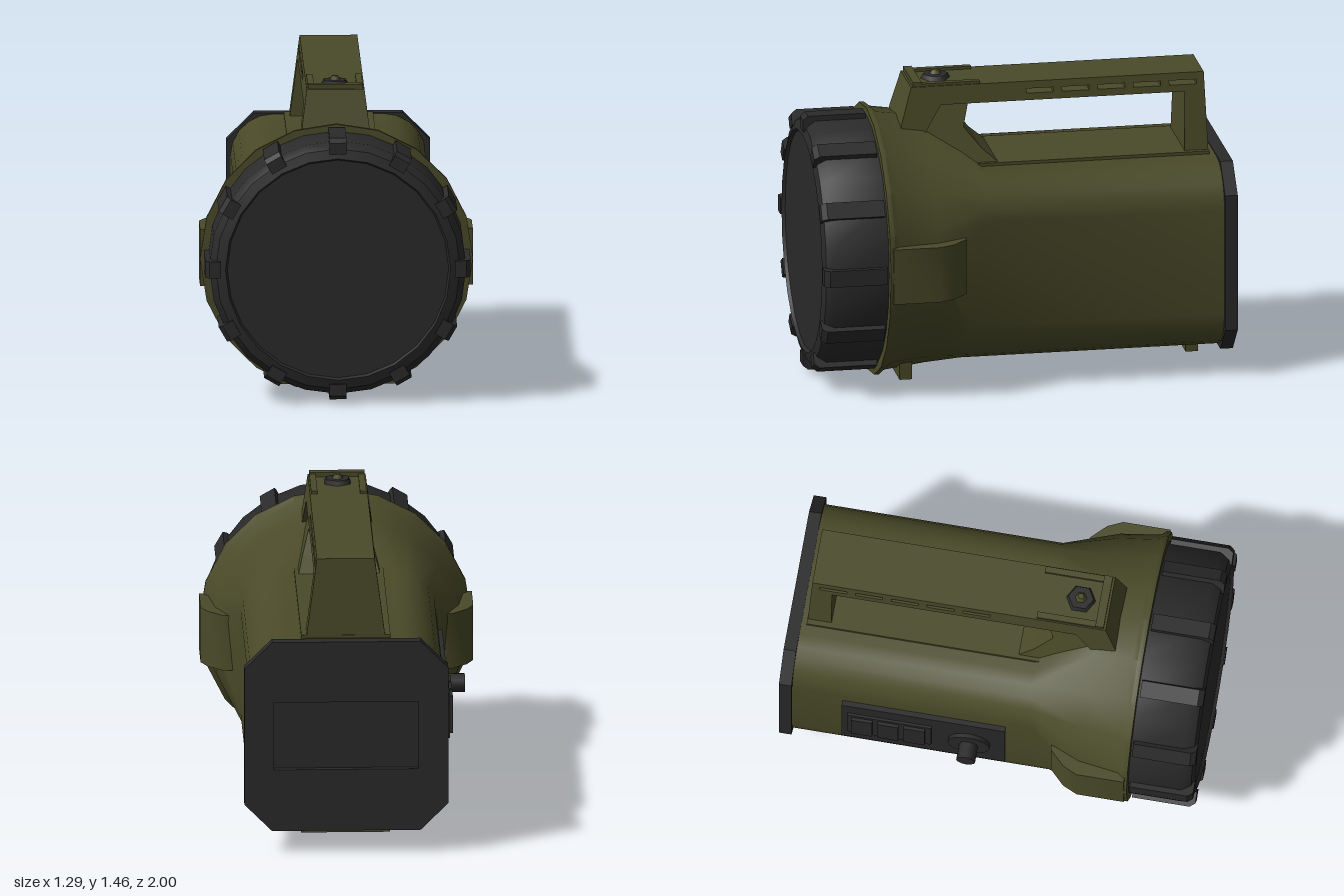
import * as THREE from 'three';
import { toCreasedNormals } from 'three/addons/utils/BufferGeometryUtils.js';

const olive = new THREE.MeshStandardMaterial({ name: 'olive plastic', color: 0x4a4a29 });
const dark = new THREE.MeshStandardMaterial({ name: 'black rubber', color: 0x2a2a2a });

// Rounded rectangle outline, counter-clockwise seen from the front; w = h = r gives a circle.
// A tilt leans the outline so that its lower edge lies further forward.
function section(z, cy, w, h, r, tilt = 0) {
  const pts = [], steps = 5;
  for (let q = 0; q < 4; q++) {
    const sx = q === 0 || q === 3 ? 1 : -1, sy = q < 2 ? 1 : -1;
    for (let k = 0; k <= steps; k++) {
      const a = (q + k / steps) * Math.PI / 2;
      const y = sy * (h - r) + r * Math.sin(a);
      pts.push([sx * (w - r) + r * Math.cos(a), cy + y, z - tilt * y]);
    }
  }
  return pts;
}

// Skin between consecutive sections, running towards +z
function loft(sections) {
  const n = sections[0].length, index = [];
  for (let i = 0; i < sections.length - 1; i++) {
    for (let j = 0; j < n; j++) {
      const a = i * n + j, b = i * n + (j + 1) % n;
      index.push(a, b, b + n, a, b + n, a + n);
    }
  }
  const g = new THREE.BufferGeometry();
  g.setAttribute('position', new THREE.Float32BufferAttribute(sections.flat(2), 3));
  g.setIndex(index);
  return toCreasedNormals(g, 0.7);
}

const polygon = (Type, pts) => new Type(pts.map(([x, y]) => new THREE.Vector2(x, y)));
const rect = (x0, x1, y0, y1) => [[x0, y0], [x1, y0], [x1, y1], [x0, y1]];

// Side profile (z, y) spread across x, with the half width growing downwards from y = 1.425
function taperedSlab(shape, topWidth, spread) {
  const g = new THREE.ExtrudeGeometry(shape, { depth: 2, bevelEnabled: false });
  g.translate(0, 0, -1);
  g.rotateY(-Math.PI / 2);
  const p = g.attributes.position;
  for (let i = 0; i < p.count; i++) {
    p.setX(i, p.getX(i) * (topWidth + (1.425 - p.getY(i)) * spread));
  }
  g.computeVertexNormals();
  return g;
}

export function createModel() {
  const model = new THREE.Group();
  model.name = 'handLantern';

  const add = (name, geometry, material, parent = model) => {
    const mesh = new THREE.Mesh(geometry, material);
    mesh.name = name;
    parent.add(mesh);
    return mesh;
  };
  // Box given by its extents
  const box = (name, material, x0, x1, y0, y1, z0, z1) => {
    const mesh = add(name, new THREE.BoxGeometry(x1 - x0, y1 - y0, z1 - z0), material);
    mesh.position.set((x0 + x1) / 2, (y0 + y1) / 2, (z0 + z1) / 2);
  };

  // Body: square battery case swelling into the round lamp head with a lip
  add('body', loft([
    section(-0.945, 0.585, 0.46, 0.455, 0.2),
    section(0.24, 0.585, 0.46, 0.455, 0.2, 0.14),
    section(0.45, 0.648, 0.595, 0.595, 0.59),
    section(0.64, 0.65, 0.622, 0.622, 0.622),
    section(0.665, 0.65, 0.643, 0.643, 0.643),
    section(0.688, 0.65, 0.643, 0.643, 0.643),
    section(0.69, 0.65, 0.58, 0.58, 0.58),
  ]), olive);

  // Bezel ring with grip ribs and the lens
  const head = new THREE.Group();
  head.name = 'lampHead';
  head.position.y = 0.655;
  model.add(head);
  const ringProfile = [[0.605, 0.69], [0.605, 0.94], [0.575, 0.985], [0.53, 0.998], [0.52, 0.98]];
  const ring = new THREE.LatheGeometry(ringProfile.map(([r, z]) => new THREE.Vector2(r, z)), 24);
  ring.rotateX(Math.PI / 2);
  add('bezelRing', toCreasedNormals(ring, 0.7), dark, head);
  const lens = add('lens', new THREE.CircleGeometry(0.525, 24), dark, head);
  lens.position.z = 0.982;
  for (let i = 0; i < 12; i++) {
    const arm = new THREE.Group();
    arm.name = 'gripRib';
    arm.rotation.z = i * Math.PI / 6;
    head.add(arm);
    const rib = polygon(THREE.Shape, [[0.55, 0.7], [0.625, 0.7], [0.625, 0.975], [0.605, 1], [0.55, 1]]);
    const g = new THREE.ExtrudeGeometry(rib, { depth: 0.08, bevelEnabled: false });
    g.translate(0, 0, -0.04);
    g.rotateX(Math.PI / 2);
    add('rib', g, dark, arm);
  }

  // Side latches, wedge-shaped towards the back
  for (const side of [1, -1]) {
    const wedge = polygon(THREE.Shape, [[0.45, 0.3], [0.54, 0.31], [0.61, 0.38], [0.642, 0.45], [0.642, 0.675], [0.45, 0.675]]);
    const g = new THREE.ExtrudeGeometry(wedge, { depth: 0.27, bevelEnabled: false });
    g.rotateX(Math.PI / 2);
    const latch = add('latch', toCreasedNormals(g, 0.8), olive);
    latch.position.y = side > 0 ? 0.79 : 0.52;
    if (side < 0) latch.rotation.z = Math.PI;
  }

  // Handle frame with grip opening and slots
  const profile = polygon(THREE.Shape, [[0.3, 1], [0.56, 1.15], [0.55, 1.25], [0.5, 1.425], [-0.9, 1.425], [-0.915, 1]]);
  profile.holes.push(polygon(THREE.Path, [[0.36, 1.335], [0.44, 1.2], [0.3, 1.055], [-0.8, 1.055], [-0.805, 1.335]]));
  for (let i = 0; i < 5; i++) {
    const z = -0.05 - i * 0.171;
    profile.holes.push(polygon(THREE.Path, rect(z - 0.13, z, 1.368, 1.39)));
  }
  add('handle', taperedSlab(profile, 0.136, 0.13), olive);
  box('handleBase', olive, -0.21, 0.21, 1, 1.055, -0.915, 0.2);

  // Narrower web bracing the front leg, spreading into the foot
  const web = polygon(THREE.Shape, [[0.09, 1.05], [0.4, 1.05], [0.45, 1.2], [0.37, 1.34], [0.22, 1.34], [0.25, 1.22], [0.17, 1.12]]);
  add('handleWeb', taperedSlab(web, 0.08, 0.3), olive);

  // Raised frame around the push button
  for (const side of [1, -1]) {
    box('switchRail', olive, side * 0.115 - 0.015, side * 0.115 + 0.015, 1.41, 1.438, 0.17, 0.45);
  }
  box('switchFrontBar', olive, -0.13, 0.13, 1.41, 1.447, 0.45, 0.49);
  const collar = add('switchCollar', new THREE.CylinderGeometry(0.06, 0.072, 0.025, 6), dark);
  collar.position.set(0, 1.434, 0.36);
  const button = add('switchButton', new THREE.CylinderGeometry(0.015, 0.035, 0.03, 6), olive);
  button.position.set(0, 1.451, 0.36);

  // Rear cap: chamfered plate with a shallow finger recess
  const W = 0.48, Y0 = 0.12, Y1 = 1.045, c = 0.13;
  const capShape = () => polygon(THREE.Shape, [
    [-W + c, Y0], [W - c, Y0], [W, Y0 + c], [W, Y1 - c], [W - c, Y1], [-W + c, Y1], [-W, Y1 - c], [-W, Y0 + c],
  ]);
  const outer = capShape();
  outer.holes.push(polygon(THREE.Path, rect(-0.34, 0.34, 0.42, 0.75)));
  const rim = add('rearCap', new THREE.ExtrudeGeometry(outer, { depth: 0.03, bevelEnabled: false }), dark);
  rim.position.z = -1;
  const plate = add('rearCapPlate', new THREE.ExtrudeGeometry(capShape(), { depth: 0.03, bevelEnabled: false }), dark);
  plate.position.z = -0.97;

  // Control panel on the right side: vents, dial and knob
  box('controlPanel', dark, -0.485, -0.44, 0.37, 0.78, -0.7, 0.08);
  box('ventBlock', dark, -0.497, -0.44, 0.47, 0.69, -0.67, -0.27);
  for (let i = 0; i < 3; i++) {
    const z = -0.65 + i * 0.125;
    box('ventRib', dark, -0.512, -0.44, 0.49, 0.67, z, z + 0.1);
  }
  const dial = add('dial', new THREE.CylinderGeometry(0.1, 0.1, 0.05, 16), dark);
  dial.rotation.z = Math.PI / 2;
  dial.position.set(-0.48, 0.57, -0.09);
  const knob = add('knob', new THREE.CylinderGeometry(0.045, 0.045, 0.09, 12), dark);
  knob.rotation.z = Math.PI / 2;
  knob.position.set(-0.54, 0.57, -0.09);

  // Feet
  box('frontFoot', olive, -0.275, 0.275, 0.03, 0.16, 0.52, 0.58);
  box('rearFoot', olive, -0.21, 0.21, 0.07, 0.15, -0.86, -0.8);

  return model;
}
